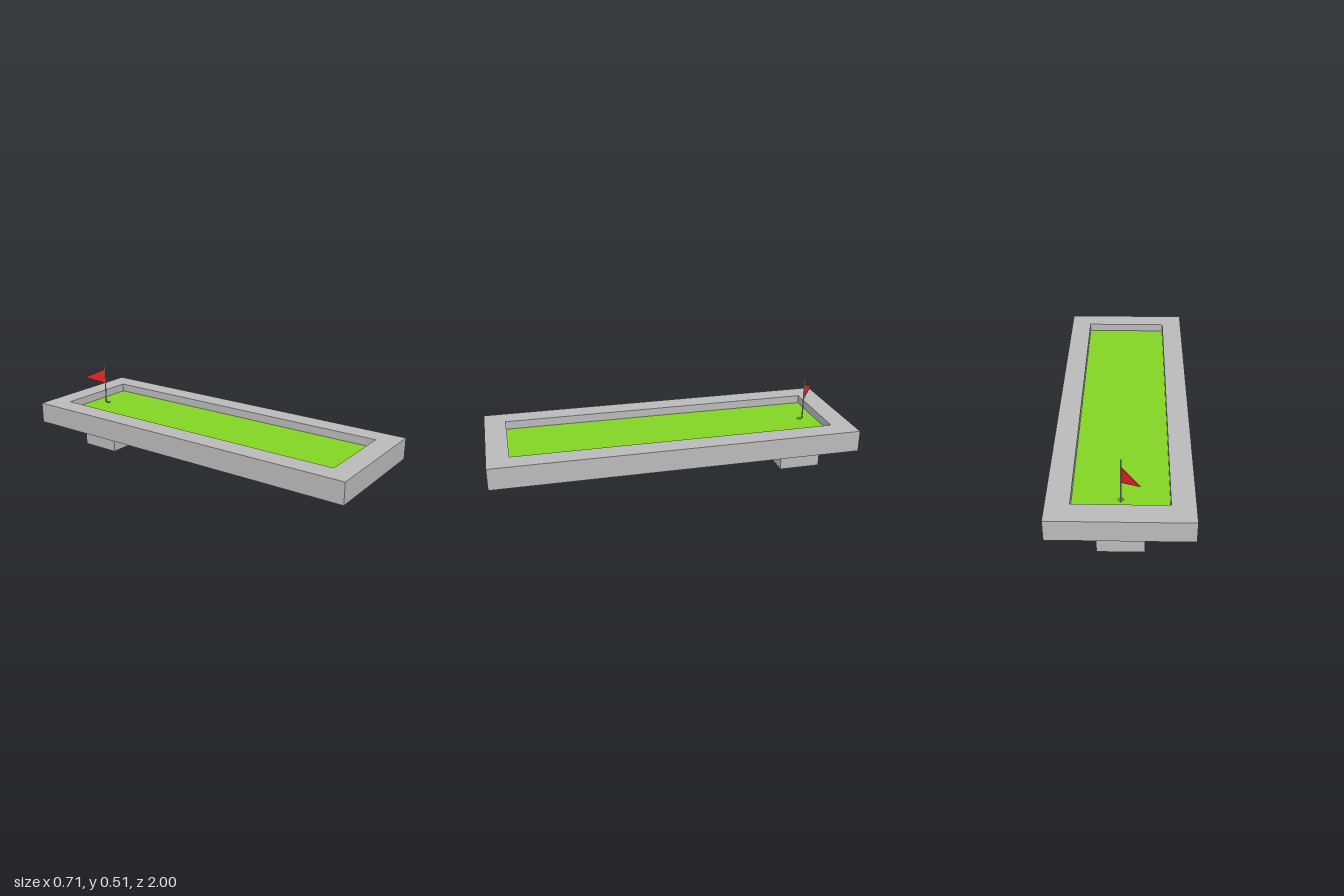
import * as THREE from 'three';

export function createModel() {
  const U = 2 / 17; // base module: border width and frame height
  const mat = (name, color) => Object.assign(new THREE.MeshStandardMaterial({ color }), { name });
  const grey = mat('concrete grey', 0xbababa);
  const green = mat('turf green', 0x82d424);
  const red = mat('flag red', 0xe02424);

  const model = new THREE.Group();
  model.name = 'golfLane';
  const add = (name, geometry, material) => {
    const mesh = new THREE.Mesh(geometry, material);
    mesh.name = name;
    model.add(mesh);
    return mesh;
  };
  const rect = (Type, w, d) => new Type([[-w, -d], [w, -d], [w, d], [-w, d]]
    .map(([x, y]) => new THREE.Vector2(x / 2, y / 2)));
  // Flat slab lying in the ground plane; shape y points to -z
  const slab = (shape, hole, y, height) => {
    shape.holes.push(hole);
    return new THREE.ExtrudeGeometry(shape, { depth: height, bevelEnabled: false, curveSegments: 16 })
      .rotateX(-Math.PI / 2).translate(0, y, 0);
  };

  // Raised border
  const frameY = 1.59 * U;
  add('frame', slab(rect(THREE.Shape, 6 * U, 17 * U), rect(THREE.Path, 4 * U, 15 * U), frameY, U), grey);

  // Turf with the cup cut through it
  const turfY = 2 * U, turfHeight = 0.2 * U;
  const cup = new THREE.Path().absarc(0, 0.794, 0.013, 0, Math.PI * 2, true);
  add('turf', slab(rect(THREE.Shape, 4 * U, 15 * U), cup, turfY, turfHeight), green);

  // Block under the cup, closing its bottom
  add('supportBlock', new THREE.BoxGeometry(2 * U, 2 * U, 2 * U), grey).position.set(0, U, -6.5 * U);

  // Pole just behind the cup
  const poleBase = turfY + turfHeight, poleTop = 0.51, poleZ = -0.811;
  add('flagPole', new THREE.CylinderGeometry(0.0037, 0.0037, poleTop - poleBase, 16), grey)
    .position.set(0, (poleTop + poleBase) / 2, poleZ);

  // Pennant, turned diagonally backwards
  const pennant = new THREE.Shape([[0, -0.044], [0.119, 0], [0, 0.044]]
    .map(([x, y]) => new THREE.Vector2(x, y)));
  const flag = add('flag', new THREE.ExtrudeGeometry(pennant, { depth: 0.005, bevelEnabled: false })
    .translate(0, 0, -0.0025), red);
  flag.position.set(-0.002, 0.423, poleZ - 0.002);
  flag.rotation.y = Math.PI * 0.765;

  return model;
}
